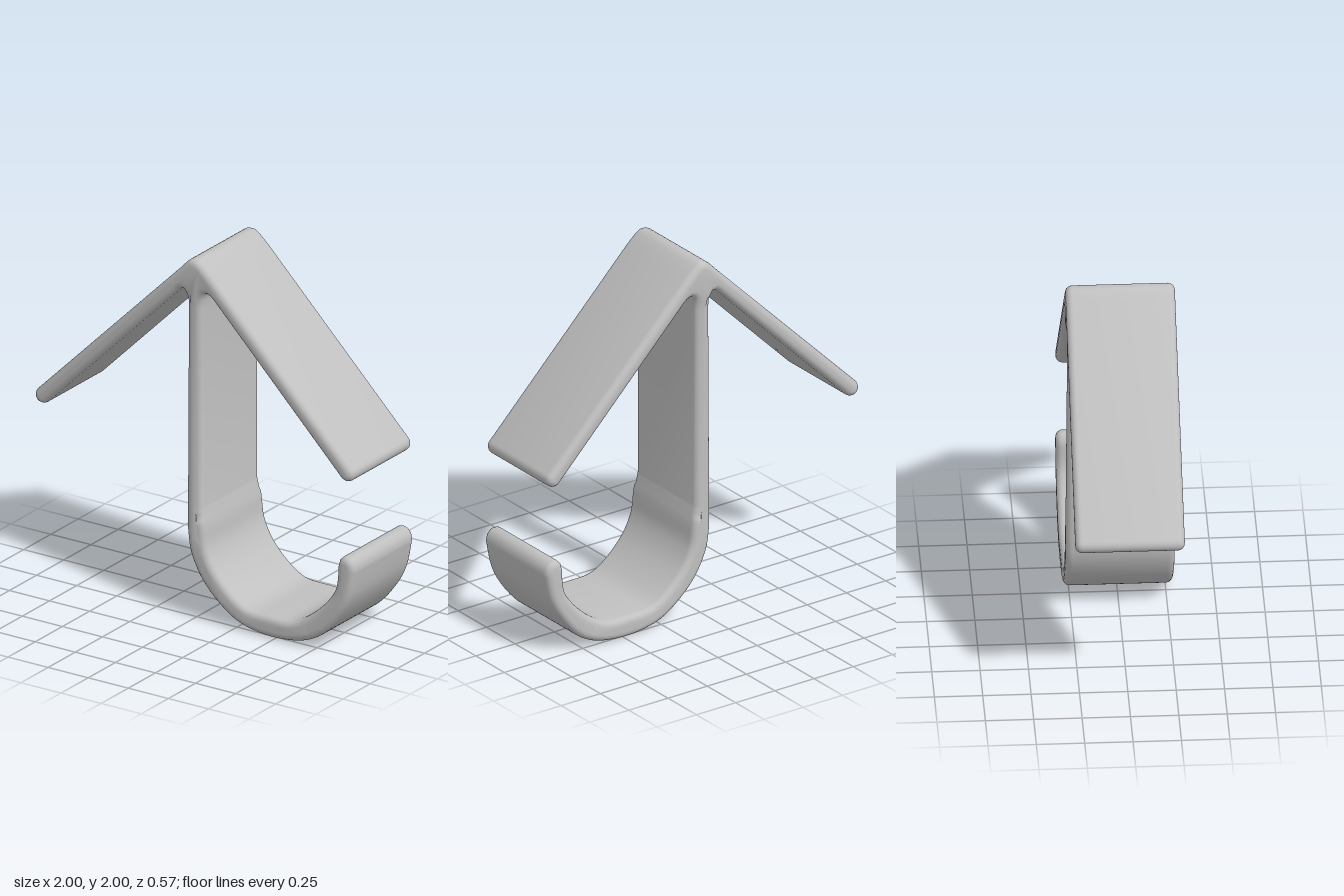
import * as THREE from 'three';
import { toCreasedNormals } from 'three/addons/utils/BufferGeometryUtils.js';

const vec = (pts) => pts.map(([x, y]) => new THREE.Vector2(x, y));

// Outline of the one-piece hook: two sloping arms, a stem and a curled hook
function hookOutline() {
  const s = new THREE.Shape();
  const r = 0.044; // half thickness of the arms
  const d = r * Math.SQRT1_2;

  // rounded apex
  s.moveTo(-0.1, 1.93);
  s.bezierCurveTo(-0.035, 2.0, -0.03, 2.0, 0, 2.0);
  s.bezierCurveTo(0.02, 2.0, 0.035, 1.99, 0.1, 1.93);

  // right arm with round tip, then fillet into the stem
  s.lineTo(0.942 + d, 1.022 + d);
  s.absarc(0.942, 1.022, r, Math.PI / 4, -Math.PI * 0.75, true);
  s.lineTo(0.11, 1.8);
  s.bezierCurveTo(0.07, 1.835, 0.037, 1.84, 0.037, 1.73);
  s.lineTo(0.037, 0.62);

  // inside of the hook
  s.splineThru(vec([
    [0.058, 0.52], [0.075, 0.4], [0.13, 0.29], [0.225, 0.19], [0.33, 0.128],
    [0.465, 0.12], [0.6, 0.124], [0.705, 0.175], [0.81, 0.27], [0.875, 0.37], [0.89, 0.5],
  ]));
  // round tip of the hook
  s.bezierCurveTo(0.892, 0.578, 0.995, 0.578, 0.998, 0.49);
  // outside of the hook
  s.splineThru(vec([
    [0.963, 0.33], [0.89, 0.2], [0.785, 0.085], [0.65, 0.02], [0.465, 0.002],
    [0.29, 0.03], [0.16, 0.105], [0.045, 0.22], [-0.028, 0.36], [-0.05, 0.5],
  ]));

  // up the stem, fillet, left arm with round tip
  s.lineTo(-0.05, 1.73);
  s.bezierCurveTo(-0.05, 1.84, -0.08, 1.835, -0.115, 1.795);
  s.lineTo(-0.955 + d, 1.022 - d);
  s.absarc(-0.955, 1.022, r, -Math.PI / 4, -Math.PI * 1.25, true);
  s.closePath();
  return s;
}

export function createModel() {
  const grey = new THREE.MeshStandardMaterial({ color: 0xc0c0c0 });
  grey.name = 'grey';

  const half = 0.283;
  const bevel = 0.036;
  const geometry = new THREE.ExtrudeGeometry(hookOutline(), {
    depth: 2 * (half - bevel),
    curveSegments: 6,
    bevelEnabled: true,
    bevelThickness: bevel,
    bevelSize: bevel,
    bevelOffset: -bevel,
    bevelSegments: 5,
  });
  geometry.translate(0, 0, -(half - bevel));

  // the stem is slightly narrower than the arms and the hook
  const p = geometry.attributes.position;
  for (let i = 0; i < p.count; i++) {
    const x = p.getX(i), y = p.getY(i);
    if (Math.abs(x) < 0.06 && y > 0.55 && y < 1.78) p.setZ(i, p.getZ(i) * 0.965);
  }

  const hook = new THREE.Mesh(toCreasedNormals(geometry, 0.9), grey);
  hook.name = 'hookBody';

  const group = new THREE.Group();
  group.name = 'hangingHook';
  group.add(hook);
  return group;
}
